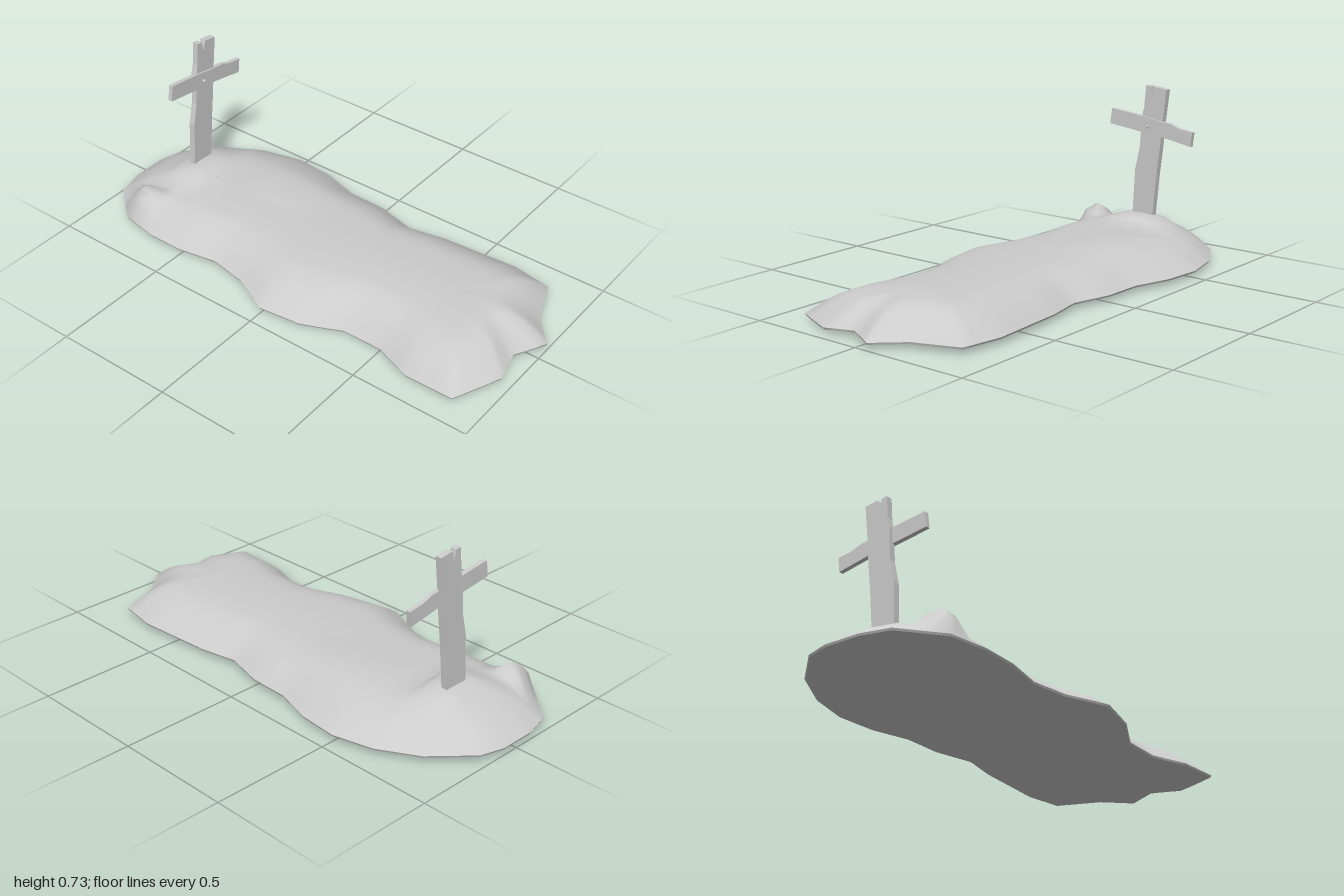
import * as THREE from 'three';
import { mergeVertices } from 'three/addons/utils/BufferGeometryUtils.js';

const material = new THREE.MeshStandardMaterial({ color: 0xcccccc });

// Ragged outline of the mound on the ground, as [x, z]
const OUTLINE = [
  [-1, -0.07], [-0.97, -0.17], [-0.83, -0.32], [-0.67, -0.41], [-0.5, -0.45], [-0.33, -0.435],
  [-0.17, -0.385], [0, -0.38], [0.17, -0.335], [0.33, -0.365], [0.5, -0.375], [0.66, -0.385],
  [0.83, -0.355], [0.9, -0.17], [1, -0.06], [0.93, 0.07], [0.96, 0.2], [0.87, 0.395],
  [0.66, 0.39], [0.5, 0.33], [0.33, 0.33], [0.17, 0.41], [0, 0.44], [-0.17, 0.36],
  [-0.33, 0.33], [-0.5, 0.36], [-0.66, 0.36], [-0.82, 0.33], [-0.97, 0.2], [-1, 0.08],
];
const SUBDIVISIONS = 3;

// Slope of the mound from rim (t = 1) to spine (t = 0), as [t, height]
const PROFILE = [
  [1, 0.03], [0.93, 0.05], [0.86, 0.07], [0.79, 0.088], [0.7, 0.107], [0.6, 0.122],
  [0.5, 0.132], [0.38, 0.136], [0.25, 0.139], [0.12, 0.141], [0, 0.142],
];

const bump = (x, z, cx, cz, rx, rz, h) =>
  h * Math.exp(-(((x - cx) / rx) ** 4) - ((z - cz) / rz) ** 4);

// The front edge sags toward the foot of the mound
function rimDrop(x, z) {
  const s = THREE.MathUtils.smoothstep;
  return 0.022 * s(z, 0.05, 0.33) * s(x, -0.1, 0.35) * (1 - 0.5 * s(x, 0.6, 0.95));
}

function rimPoints() {
  const points = [];
  OUTLINE.forEach(([x, z], i) => {
    const [nx, nz] = OUTLINE[(i + 1) % OUTLINE.length];
    for (let k = 0; k < SUBDIVISIONS; k++) {
      const f = k / SUBDIVISIONS;
      points.push([x + (nx - x) * f, z + (nz - z) * f]);
    }
  });
  return points;
}

// Joins closed rings of equal length, running from the outside inward
function ringSurface(rings, flip) {
  const n = rings[0].length;
  const index = [];
  for (let r = 0; r < rings.length - 1; r++) {
    for (let i = 0; i < n; i++) {
      const j = (i + 1) % n;
      const a = r * n + i, b = r * n + j, c = a + n, d = b + n;
      if (flip) index.push(a, b, c, b, d, c);
      else index.push(a, c, b, b, c, d);
    }
  }
  const geometry = new THREE.BufferGeometry();
  geometry.setAttribute('position', new THREE.Float32BufferAttribute(rings.flat(2), 3));
  geometry.setIndex(index);
  const merged = mergeVertices(geometry);
  merged.computeVertexNormals();
  return merged;
}

function named(geometry, name) {
  const mesh = new THREE.Mesh(geometry, material);
  mesh.name = name;
  return mesh;
}

function createMound() {
  const rim = rimPoints();
  const toSpine = (x, z, t) => {
    const cx = THREE.MathUtils.clamp(x, -0.62, 0.62);
    return [cx + (x - cx) * t, z * t];
  };
  const topRings = PROFILE.map(([t, h]) => rim.map(([x, z]) => {
    const [px, pz] = toSpine(x, z, t);
    let y = h - rimDrop(x, z) * t ** 3;
    if (t < 1) {
      y += bump(px, pz, -0.71, -0.03, 0.09, 0.14, 0.036);   // soil heaped at the post
      y += bump(px, pz, -0.78, 0.27, 0.06, 0.06, 0.075);    // clod at the head corner
      y += bump(px, pz, -0.33, -0.16, 0.2, 0.12, 0.01);     // low ridge at the back
    }
    return [px, y, pz];
  }));
  const edge = (drop, t) => rim.map(([x, z]) => {
    const [px, pz] = toSpine(x, z, t);
    return [px, 0.03 - drop - rimDrop(x, z) * t, pz];
  });

  const mound = new THREE.Group();
  mound.name = 'mound';
  mound.add(
    named(ringSurface(topRings), 'moundTop'),
    named(ringSurface([edge(0, 1), edge(0.008, 0.99)], true), 'moundRim'),
    named(ringSurface([edge(0.008, 0.99), edge(0.01, 0.5), edge(0.01, 0)], true), 'moundUnderside'),
  );
  return mound;
}

// Plank cut from an outline of [-z, y] points, its thickness along x
function plank(outline, x0, x1, name) {
  const shape = new THREE.Shape(outline.map(([u, v]) => new THREE.Vector2(u, v)));
  const geometry = new THREE.ExtrudeGeometry(shape, { depth: x1 - x0, bevelEnabled: false });
  geometry.rotateY(Math.PI / 2);
  geometry.translate(x0, 0, 0);
  return named(geometry, name);
}

function createCross() {
  const cross = new THREE.Group();
  cross.name = 'cross';

  // Upright with a split top
  cross.add(plank([
    [-0.013, 0.12], [0.087, 0.12], [0.092, 0.175], [0.11, 0.36], [0.125, 0.48], [0.135, 0.585],
    [0.152, 0.724], [0.093, 0.732], [0.08, 0.69], [0.073, 0.732], [0.048, 0.735],
    [0.04, 0.64], [0.03, 0.6], [0.02, 0.46], [-0.002, 0.367], [-0.012, 0.175],
  ], -0.738, -0.711, 'upright'));

  // Tilted board nailed across
  cross.add(plank([
    [-0.132, 0.553], [0.02, 0.534], [0.13, 0.522], [0.282, 0.495], [0.29, 0.557],
    [0.226, 0.565], [0.178, 0.582], [0.13, 0.587], [0.027, 0.603], [-0.123, 0.62],
  ], -0.722, -0.703, 'crossbar'));

  // Nail
  const nail = named(new THREE.CylinderGeometry(0.007, 0.007, 0.02, 10), 'nail');
  nail.rotation.z = -Math.PI / 2;
  nail.position.set(-0.7, 0.558, -0.062);
  cross.add(nail);
  return cross;
}

export function createModel() {
  const model = new THREE.Group();
  model.name = 'graveMound';
  model.add(createMound(), createCross());
  return model;
}
